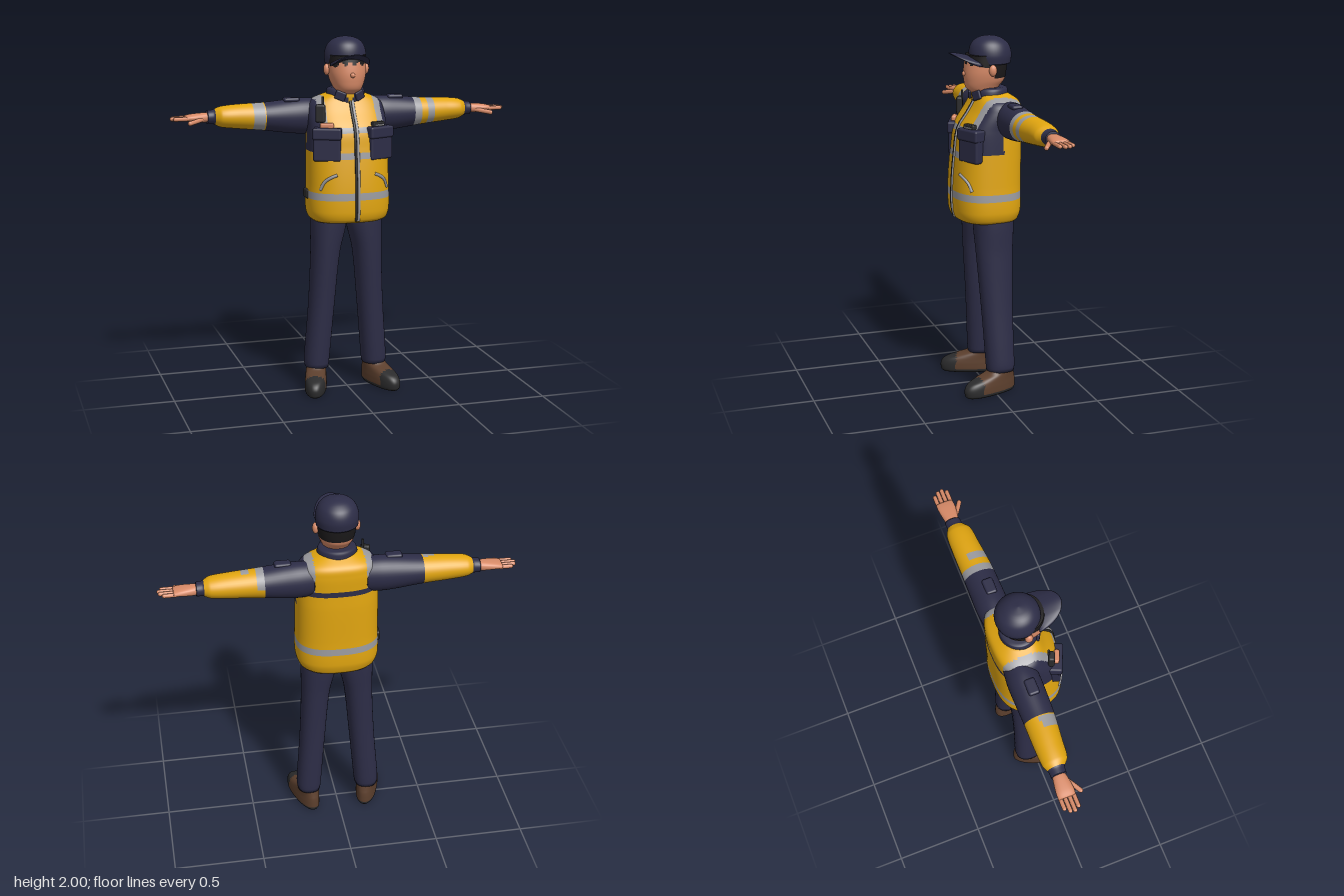
import * as THREE from 'three';
import { RoundedBoxGeometry } from 'three/addons/geometries/RoundedBoxGeometry.js';

const COLORS = {
  yellow: 0xe2a610, navy: 0x2d2d47, reflective: 0x9c9ca0, skin: 0xd98b68,
  bootBrown: 0x5c3f2d, charcoal: 0x2b2b2c, hair: 0x1b191a,
};
const NAMES = Object.keys(COLORS);

// Cubic interpolation of key rows [t, a, b, ra, rb] at t
function sample(keys, t) {
  const last = keys.length - 1;
  const dir = Math.sign(keys[last][0] - keys[0][0]);
  let i = 0;
  while (i < last - 1 && (t - keys[i + 1][0]) * dir > 0) i++;
  const p = keys[i], q = keys[i + 1], h = q[0] - p[0], u = (t - p[0]) / h;
  const slope = (j, k) => {
    const a = keys[Math.max(j - 1, 0)], b = keys[Math.min(j + 1, last)];
    return (b[k] - a[k]) / (b[0] - a[0]);
  };
  return p.map((_, k) => k === 0 ? t :
    p[k] * (1 + 2 * u) * (1 - u) ** 2 + q[k] * u * u * (3 - 2 * u) +
    h * slope(i, k) * u * (1 - u) ** 2 - h * slope(i + 1, k) * u * u * (1 - u));
}

// Closed loft of superellipse rings along y or x; paint(x, y, z) picks a colour per face
function loft(keys, { axis = 'y', rows = 24, segs = 32, n = 2, paint }) {
  const pos = [], t0 = keys[0][0], t1 = keys[keys.length - 1][0];
  const pw = v => Math.sign(v) * Math.abs(v) ** (2 / n);
  for (let r = -1; r <= rows + 1; r++) {
    const f = Math.min(Math.max(r / rows, 0), 1);
    const [t, a, b, ra, rb] = sample(keys, t0 + (t1 - t0) * f);
    const k = r < 0 || r > rows ? 0 : 1;
    for (let i = 0; i < segs; i++) {
      const w = i / segs * Math.PI * 2, c = pw(Math.cos(w)) * k, s = pw(Math.sin(w)) * k;
      if (axis === 'y') pos.push(a + ra * c, t, b + rb * s);
      else pos.push(t, a + ra * s, b + rb * c);
    }
  }
  const buckets = NAMES.map(() => []);
  const flip = t1 < t0;
  for (let r = 0; r < rows + 2; r++) for (let i = 0; i < segs; i++) {
    const j = (i + 1) % segs, a = r * segs + i, b = a + segs, c = r * segs + j, d = c + segs;
    const mid = k => (pos[a * 3 + k] + pos[b * 3 + k] + pos[c * 3 + k] + pos[d * 3 + k]) / 4;
    const bucket = buckets[NAMES.indexOf(paint(mid(0), mid(1), mid(2)))];
    if (flip) bucket.push(a, c, b, c, d, b);
    else bucket.push(a, b, c, c, b, d);
  }
  const g = new THREE.BufferGeometry();
  g.setAttribute('position', new THREE.Float32BufferAttribute(pos, 3));
  g.setIndex(buckets.flat());
  let start = 0;
  buckets.forEach((list, m) => {
    if (list.length) g.addGroup(start, list.length, m);
    start += list.length;
  });
  g.computeVertexNormals();
  return g;
}

export function createModel() {
  const model = new THREE.Group();
  model.name = 'worker';
  const mats = {};
  for (const k of NAMES) {
    mats[k] = new THREE.MeshStandardMaterial({ color: COLORS[k] });
    mats[k].name = k;
  }
  const all = NAMES.map(k => mats[k]);
  const add = (name, geo, mat = all, x = 0, y = 0, z = 0, ry = 0) => {
    const m = new THREE.Mesh(geo, mat);
    m.name = name;
    m.position.set(x, y, z);
    m.rotation.y = ry;
    model.add(m);
    return m;
  };
  const box = (w, h, d, r = 0.012) => new RoundedBoxGeometry(w, h, d, 2, r);
  const tube = (pts, r) => new THREE.TubeGeometry(
    new THREE.CatmullRomCurve3(pts.map(p => new THREE.Vector3(...p))), 24, r, 8);

  // Jacket body with bands, shoulder panels and yoke
  const body = [
    [0.985, 0, -0.005, 0.195, 0.16], [1.0, 0, 0, 0.215, 0.175], [1.05, 0, 0, 0.23, 0.188],
    [1.2, 0, 0, 0.228, 0.188], [1.4, 0, -0.01, 0.225, 0.18], [1.5, 0, -0.017, 0.222, 0.17],
    [1.6, 0, -0.05, 0.217, 0.138], [1.65, 0, -0.058, 0.19, 0.118], [1.69, 0, -0.04, 0.1, 0.08],
  ];
  const N = 2.6;
  const paintBody = (x, y, z) => {
    const ax = Math.abs(x);
    if (y > 1.115 && y < 1.158) return 'reflective';
    if (z > -0.04) {
      if (y > 1.38 && ax > 0.19) return 'navy';
      if (y > 1.515) return ax > 0.178 ? 'navy' : ax > 0.138 ? 'reflective' : 'yellow';
      return (y > 1.485 || (y > 1.343 && y < 1.377)) && ax < 0.2 ? 'reflective' : 'yellow';
    }
    if (y > 1.515) return ax > 0.178 ? 'navy' : ax > 0.138 ? 'reflective' : 'yellow';
    return y > 1.483 ? 'navy' : 'yellow';
  };
  add('jacketBody', loft(body, { rows: 140, segs: 160, n: N, paint: paintBody }));
  const onFront = (x, y, lift = 0) => {
    const [, , cz, rx, rz] = sample(body, y);
    return [x, y, cz + rz * (1 - (Math.abs(x) / rx) ** N) ** (1 / N) + lift];
  };

  // Zip and its flap edge
  const heights = [1.0, 1.05, 1.2, 1.35, 1.5, 1.58, 1.64, 1.68];
  add('zip', tube(heights.map(y => onFront(0, y)), 0.007), mats.charcoal);
  add('zipFlap', tube(heights.map(y => onFront(0.014, y)), 0.008), mats.reflective);

  // Collar, open at the front
  add('collar', loft([[1.64, 0, -0.035, 0.115, 0.1], [1.69, 0, -0.032, 0.108, 0.1], [1.715, 0, -0.035, 0.1, 0.092],
    [1.72, 0, -0.035, 0.085, 0.08]], { rows: 16, segs: 64,
    paint: (x, y, z) => z > 0 && Math.abs(x) < (y - 1.63) * 0.4 ? 'yellow' : 'navy' }));
  for (const s of [-1, 1]) {
    const tip = add('collarTip', box(0.06, 0.05, 0.018, 0.008), mats.navy, s * 0.055, 1.68, 0.06, s * 0.5);
    tip.rotation.z = s * 0.35;
  }

  // Head, ears and hair
  add('head', loft([[1.64, 0, -0.03, 0.065, 0.065], [1.69, 0, -0.015, 0.066, 0.085], [1.715, 0, 0.01, 0.075, 0.09],
    [1.76, 0, 0.0, 0.094, 0.112], [1.81, 0, -0.005, 0.104, 0.118], [1.9, 0, -0.015, 0.106, 0.115]], {
    rows: 60, segs: 64, n: 2.2, paint: (x, y, z) => (z < -0.025 && y > 1.775) ||
      y > 1.855 - 0.012 * Math.sin(x * 130) - 0.25 * Math.max(0, Math.abs(x) - 0.06) ? 'hair' : 'skin' }));
  add('nose', new THREE.SphereGeometry(0.014, 12, 8), mats.skin, 0, 1.795, 0.112);

  // Cap with curved brim
  add('capCrown', loft([[1.85, 0, -0.035, 0.112, 0.112], [1.9, 0, -0.035, 0.116, 0.118], [1.95, 0, -0.033, 0.102, 0.105],
    [1.98, 0, -0.03, 0.075, 0.075], [1.995, 0, -0.03, 0.04, 0.04], [2.0, 0, -0.03, 0.005, 0.005]],
    { rows: 30, segs: 48, paint: () => 'navy' }));
  const brimKeys = [-0.108, -0.1, -0.08, -0.05, 0, 0.05, 0.08, 0.1, 0.108].map(x => {
    const k = Math.sqrt(1 - (x / 0.11) ** 2);
    return [x, 1.885 - 2.4 * x * x, 0.04 + 0.085 * k, 0.009, 0.075 * k];
  });
  const brim = loft(brimKeys, { axis: 'x', rows: 32, segs: 24, paint: () => 'navy' });
  const bp = brim.attributes.position;
  for (let i = 0; i < bp.count; i++) bp.setY(i, bp.getY(i) + 0.22 * (bp.getZ(i) - 0.08));
  brim.computeVertexNormals();
  add('capBrim', brim);

  for (const s of [-1, 1]) {
    const side = s > 0 ? 'left' : 'right';
    add(side + 'Ear', new THREE.SphereGeometry(1, 14, 10), mats.skin, s * 0.112, 1.82, -0.015)
      .scale.set(0.018, 0.032, 0.022);

    // Sleeve: navy upper, reflective bands, yellow forearm, navy cuff
    const sleeve = [
      [0.14, 1.56, -0.09, 0.095, 0.08], [0.22, 1.56, -0.09, 0.1, 0.088], [0.3, 1.56, -0.09, 0.095, 0.088],
      [0.45, 1.563, -0.092, 0.078, 0.084], [0.6, 1.567, -0.1, 0.067, 0.076], [0.69, 1.568, -0.103, 0.057, 0.068],
      [0.72, 1.568, -0.108, 0.045, 0.05], [0.73, 1.568, -0.11, 0.04, 0.044], [0.765, 1.567, -0.112, 0.037, 0.042],
    ].map(k => [k[0] * s, ...k.slice(1)]);
    const paintSleeve = (x, y, z) => {
      const ax = Math.abs(x);
      if (ax > 0.724) return 'navy';
      if (s > 0) {
        if (ax < 0.405) return 'navy';
        const shown = z > -0.09 || y > 1.565;
        return shown && (ax < 0.445 || (z > -0.12 && ax > 0.485 && ax < 0.525)) ? 'reflective' : 'yellow';
      }
      if (ax < 0.455) return 'navy';
      return z > -0.1 && ax > 0.46 && ax < 0.52 ? 'reflective' : 'yellow';
    };
    add(side + 'Sleeve', loft(sleeve, { axis: 'x', rows: 120, segs: 40, paint: paintSleeve }));

    // Hand with fingers and thumb
    add(side + 'Palm', loft([[0.75, 1.567, -0.112, 0.026, 0.032], [0.79, 1.566, -0.112, 0.026, 0.04],
      [0.85, 1.567, -0.113, 0.02, 0.048], [0.885, 1.566, -0.115, 0.014, 0.046]].map(k => [k[0] * s, ...k.slice(1)]),
      { axis: 'x', rows: 14, segs: 24, n: 2.4, paint: () => 'skin' }));
    [0.945, 0.965, 0.97, 0.955].forEach((tip, i) => {
      const z = -0.15 + i * 0.024, len = tip - 0.86;
      const f = add(side + 'Finger', new THREE.CapsuleGeometry(0.0115, len - 0.023, 4, 8), mats.skin,
        s * (0.86 + len / 2), 1.564, z);
      f.rotation.z = Math.PI / 2;
    });
    add(side + 'Thumb', tube([[s * 0.785, 1.56, -0.09], [s * 0.83, 1.552, -0.06], [s * 0.87, 1.545, -0.035]], 0.013),
      mats.skin);
    add(side + 'ThumbTip', new THREE.SphereGeometry(0.013, 8, 6), mats.skin, s * 0.87, 1.545, -0.035);

    // Shoulder tab
    add(side + 'ShoulderTab', box(0.09, 0.025, 0.06), mats.navy, s * 0.3, 1.652, -0.075);

    // Chest pouch with flap and slanted lower pocket trim
    add(side + 'Pouch', box(0.152, 0.175, 0.075), mats.navy, s * 0.145, 1.42, 0.115, s * 0.4);
    add(side + 'PouchFlap', box(0.16, 0.065, 0.085), mats.navy, s * 0.145, 1.483, 0.117, s * 0.4);
    add(side + 'PocketTrim', tube([onFront(s * 0.19, 1.175), onFront(s * 0.17, 1.22), onFront(s * 0.14, 1.245),
      onFront(s * 0.105, 1.26)], 0.009), mats.reflective);

    // Trouser leg
    add(side + 'TrouserLeg', loft([
      [0.125, s * 0.17, -0.04, 0.066, 0.078], [0.16, s * 0.17, -0.04, 0.07, 0.081], [0.5, s * 0.143, -0.028, 0.072, 0.089],
      [0.8, s * 0.122, -0.02, 0.08, 0.103], [0.95, s * 0.105, -0.02, 0.098, 0.112], [1.06, s * 0.1, -0.02, 0.1, 0.115],
    ], { rows: 40, segs: 36, n: 2.3, paint: () => 'navy' }));

    // Boot with dark sole and toe cap, turned outwards
    add(side + 'Boot', loft([
      [0, 0, 0.07, 0.05, 0.155], [0.012, 0, 0.072, 0.06, 0.163], [0.05, 0, 0.072, 0.062, 0.164],
      [0.08, 0, 0.06, 0.06, 0.15], [0.1, 0, 0.035, 0.058, 0.12], [0.12, 0, 0.005, 0.056, 0.085],
      [0.15, 0, -0.005, 0.056, 0.068],
    ], { rows: 36, segs: 56, n: 2.3, paint: (x, y, z) => y < 0.022 || z > 0.145 ? 'charcoal' : 'bootBrown' }),
    all, s * 0.172, 0, -0.04, s * 0.3);
  }

  // Carried gear: radio, glove, notebook and belt clip
  add('radio', box(0.055, 0.1, 0.035), mats.charcoal, -0.175, 1.59, 0.085, -0.4);
  add('radioAerial', new THREE.CylinderGeometry(0.007, 0.007, 0.06, 8), mats.charcoal, -0.16, 1.65, 0.075);
  add('glove', box(0.075, 0.035, 0.03), mats.skin, -0.15, 1.525, 0.125, -0.4);
  add('notebook', box(0.08, 0.03, 0.03, 0.006), mats.charcoal, 0.14, 1.525, 0.125, 0.4);
  add('notebookEdge', box(0.06, 0.008, 0.032, 0.003), mats.reflective, 0.14, 1.522, 0.129, 0.4);
  add('beltClip', box(0.03, 0.055, 0.08), mats.charcoal, -0.225, 1.135, -0.02);
  return model;
}
